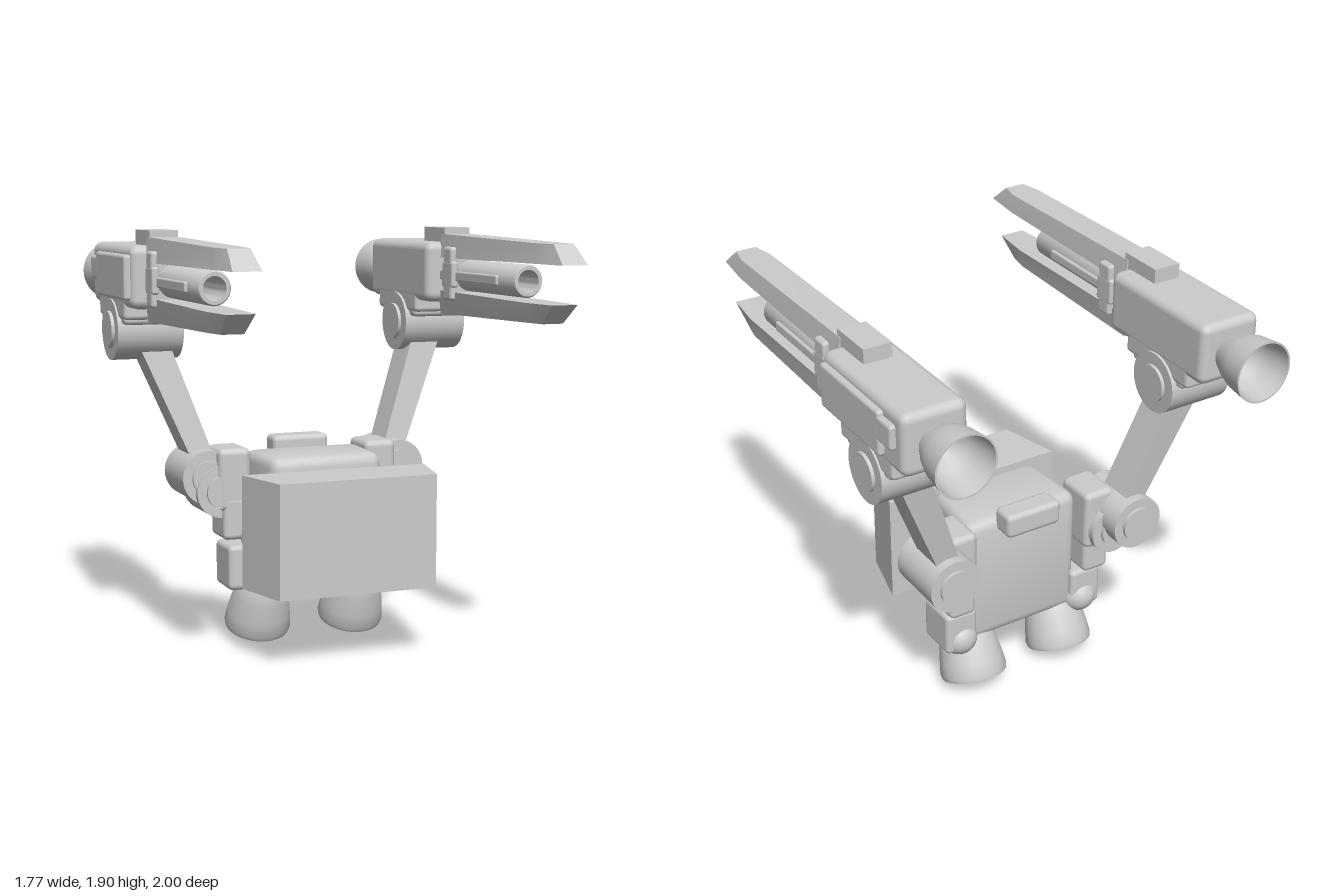
import * as THREE from 'three';
import { RoundedBoxGeometry } from 'three/addons/geometries/RoundedBoxGeometry.js';
import { toCreasedNormals } from 'three/addons/utils/BufferGeometryUtils.js';

const grey = new THREE.MeshStandardMaterial({ color: 0xcccccc });
grey.name = 'grey metal';
const greyOpen = grey;

function add(parent, name, geometry, x = 0, y = 0, z = 0) {
  const mesh = new THREE.Mesh(geometry, greyOpen);
  mesh.name = name;
  mesh.position.set(x, y, z);
  parent.add(mesh);
  return mesh;
}

// Soft-edged block given by its size and centre
function block(parent, name, size, pos, radius = 0.02) {
  return add(parent, name, new RoundedBoxGeometry(...size, 2, radius), ...pos);
}

// Cylinder along x or z with a slightly proud smaller disc on each end
function joint(parent, name, axis, r, length, capR, pos) {
  const g = new THREE.Group();
  g.name = name;
  add(g, 'jointDrum', new THREE.CylinderGeometry(r, r, length, 40));
  add(g, 'jointCap', new THREE.CylinderGeometry(capR, capR, length + 0.03, 40));
  if (axis === 'x') g.rotation.z = Math.PI / 2;
  else g.rotation.x = Math.PI / 2;
  g.position.set(...pos);
  parent.add(g);
}

function lathe(points) {
  const pts = points.map(([r, y]) => new THREE.Vector2(r, y));
  return toCreasedNormals(new THREE.LatheGeometry(pts, 40), 0.6);
}

// Move the vertices of a geometry by a rule
function reshape(geometry, rule) {
  const p = geometry.attributes.position;
  const v = new THREE.Vector3();
  for (let i = 0; i < p.count; i++) {
    rule(v.fromBufferAttribute(p, i));
    p.setXYZ(i, v.x, v.y, v.z);
  }
  geometry.computeVertexNormals();
  return geometry;
}

// Long bar with a slanted tip; up = 1 for the upper rail, -1 for the lower
function blade(parent, name, up, y, tip, back) {
  const geo = reshape(new THREE.BoxGeometry(2, 2, 2, 1, 1, 2), (v) => {
    const outer = v.y * up > 0;
    const k = v.z;
    v.z = k < 0 ? back : k === 0 ? tip - 0.2 : outer ? tip - 0.1 : tip;
    const half = k > 0 ? 0.06 : 0.08;
    v.x *= outer ? half - 0.012 : half;
    v.y = up * (outer ? (k < 0 ? 0.102 : 0.085) : k < 0 ? -0.008 : 0);
  });
  add(parent, name, toCreasedNormals(geo, 0.3), 0, y, 0);
}

function buildGun(s) {
  const gun = new THREE.Group();
  gun.name = s > 0 ? 'leftGun' : 'rightGun';
  gun.position.x = s * 0.712;

  block(gun, 'gunHousing', [0.295, 0.28, 0.67], [0, 1.7, -0.448], 0.04);
  block(gun, 'gunMountUpper', [0.29, 0.12, 0.44], [0, 1.565, -0.465], 0.02);
  block(gun, 'gunMountLower', [0.27, 0.1, 0.36], [0, 1.53, -0.46], 0.02);
  block(gun, 'sidePanel', [0.05, 0.2, 0.49], [s * 0.148, 1.7, -0.385], 0.015);
  block(gun, 'panelLatch', [0.05, 0.11, 0.12], [s * 0.148, 1.725, -0.665], 0.015);
  add(gun, 'topSight', new THREE.BoxGeometry(0.13, 0.08, 0.22), 0, 1.866, -0.215);

  blade(gun, 'upperBlade', 1, 1.775, 1, -0.13);
  blade(gun, 'lowerBlade', -1, 1.607, 0.92, -0.13);

  // Hollow barrel with a raised strip on each side
  const barrel = add(gun, 'barrel', lathe([
    [0.072, -0.15], [0.072, 0.59], [0.066, 0.6], [0.05, 0.6], [0.05, 0.3], [0, 0.3],
  ]), 0, 1.69, 0);
  barrel.rotation.x = Math.PI / 2;
  for (const e of [-1, 1]) {
    block(gun, 'barrelStrip', [0.03, 0.045, 0.57], [e * 0.068, 1.688, 0.17], 0.008);
    for (const u of [-1, 1])
      block(gun, 'clampLug', [0.04, 0.085, 0.085], [e * 0.082, 1.698 + u * 0.08, 0], 0.015);
    block(gun, 'clampPlate', [0.035, 0.12, 0.11], [e * 0.085, 1.695, 0], 0.012);
  }
  add(gun, 'clampBand', new THREE.BoxGeometry(0.15, 0.16, 0.08), 0, 1.69, 0);

  // Flared rear exhaust
  const exhaust = add(gun, 'rearNozzle', lathe([
    [0, 0.15], [0.06, 0.15], [0.1, 0.21], [0.118, 0.27], [0.13, 0.37], [0.138, 0.37],
    [0.126, 0.27], [0.108, 0.21], [0.075, 0.14], [0.07, 0.1],
  ].reverse()), 0, 1.692, -0.63);
  exhaust.geometry = lathe([
    [0.07, 0.1], [0.075, 0.14], [0.108, 0.21], [0.126, 0.27], [0.138, 0.37], [0.13, 0.37],
    [0.118, 0.27], [0.1, 0.21], [0.06, 0.15], [0, 0.15],
  ]);
  exhaust.rotation.x = -Math.PI / 2;
  return gun;
}

function buildSide(s) {
  const side = new THREE.Group();
  side.name = s > 0 ? 'leftSide' : 'rightSide';

  // Stacked blocks running down the flank of the pack
  block(side, 'shoulderBlock', [0.155, 0.29, 0.21], [s * 0.362, 0.765, -0.283], 0.03);
  block(side, 'flankBlock', [0.13, 0.2, 0.2], [s * 0.355, 0.585, -0.276], 0.025);
  block(side, 'hipBlock', [0.16, 0.21, 0.21], [s * 0.335, 0.365, -0.225], 0.025);
  add(side, 'hipBall', new THREE.SphereGeometry(0.085, 28, 18), s * 0.325, 0.31, -0.275);
  const pipe = add(side, 'pipe', new THREE.CylinderGeometry(0.02, 0.02, 0.16, 16), s * 0.31, 0.63, -0.13);
  pipe.rotation.x = Math.PI / 2;

  // Shoulder drums, slanted arm and elbow
  joint(side, 'shoulderJoint', 'z', 0.125, 0.29, 0.08, [s * 0.475, 0.775, -0.37]);
  joint(side, 'innerShoulderJoint', 'z', 0.12, 0.22, 0.075, [s * 0.42, 0.71, -0.31]);
  const arm = reshape(new THREE.BoxGeometry(1, 1, 1), (v) => {
    const t = v.y + 0.5;
    v.x = v.x * (0.105 + 0.045 * t) + s * (0.447 + 0.263 * t);
    v.z = v.z * 0.168 - 0.37 - 0.098 * t;
    v.y = 0.77 + 0.68 * t;
  });
  add(side, 'arm', arm);
  joint(side, 'elbowJoint', 'x', 0.14, 0.31, 0.085, [s * 0.71, 1.45, -0.468]);

  // Thruster: flared hollow bell, narrow neck and rounded chamber
  const thruster = add(side, 'thruster', lathe([
    [0, 0.2], [0.08, 0.2], [0.12, 0.12], [0.138, 0.02], [0.14, 0], [0.15, 0], [0.155, 0.02],
    [0.147, 0.08], [0.13, 0.17], [0.105, 0.25], [0.085, 0.275], [0.06, 0.29], [0.065, 0.35],
    [0.1, 0.4], [0.122, 0.45], [0.122, 0.5], [0.1, 0.55], [0.05, 0.575], [0, 0.58],
  ]), s * 0.235, 0.06, -0.26);
  thruster.rotation.x = 0.345;

  side.add(buildGun(s));
  return side;
}

export function createModel() {
  const model = new THREE.Group();
  model.name = 'weaponBackpack';

  // Central pack, narrowing towards the front
  const body = reshape(new RoundedBoxGeometry(0.58, 0.62, 0.36, 2, 0.05), (v) => {
    v.x *= 0.96 - 0.22 * v.z;
  });
  add(model, 'packBody', toCreasedNormals(body, 0.7), 0, 0.58, -0.125);
  block(model, 'rearPad', [0.275, 0.115, 0.12], [0, 0.885, -0.34], 0.025);

  // Detached front block, wider at the back
  const plate = reshape(new THREE.BoxGeometry(0.88, 0.51, 0.29), (v) => {
    if (v.z > 0) v.x *= 0.84;
  });
  add(model, 'frontBlock', plate, 0, 0.585, 0.275);

  for (const s of [-1, 1]) model.add(buildSide(s));
  return model;
}
